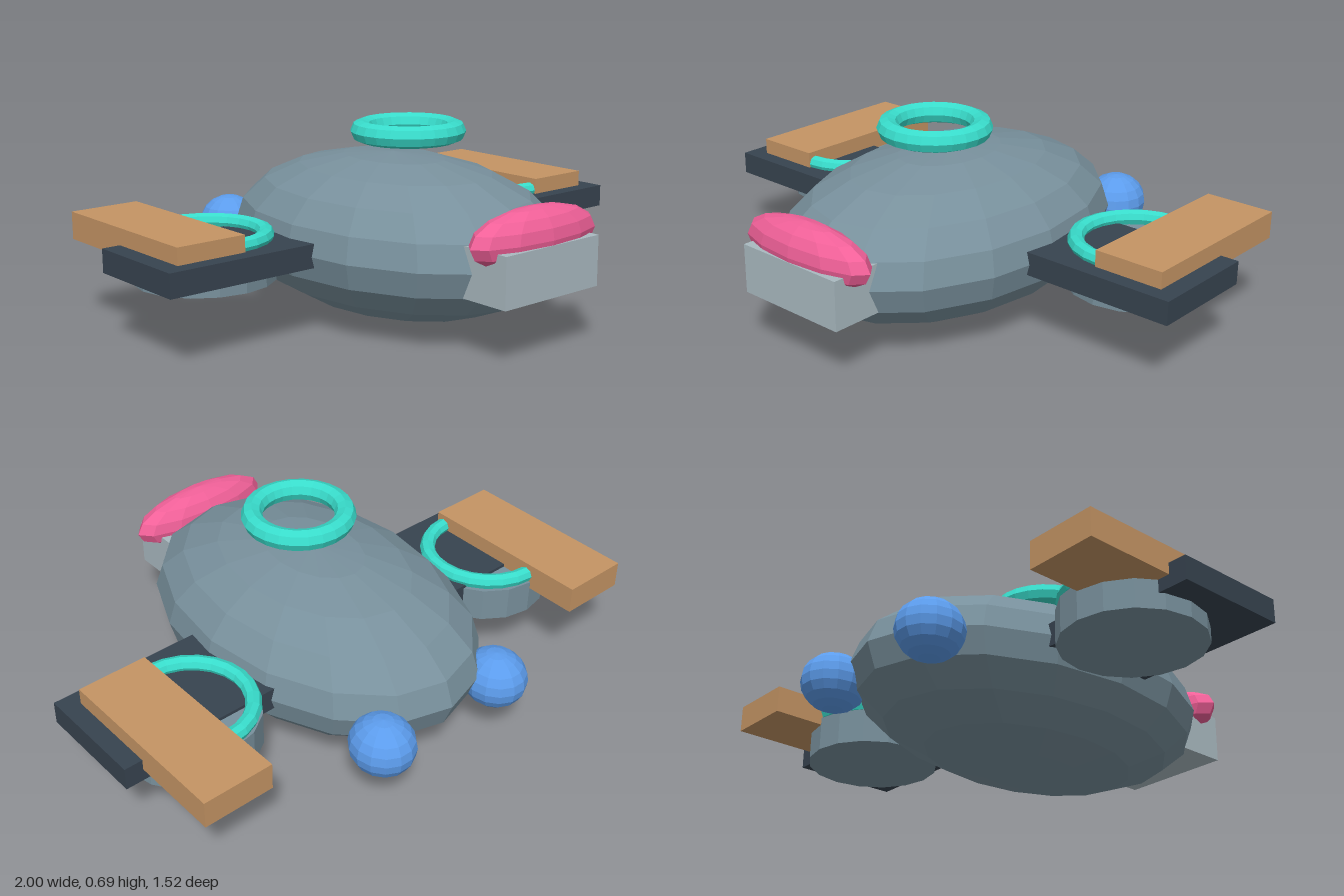
import * as THREE from 'three';

const mat = (color) => new THREE.MeshStandardMaterial({ color, flatShading: true });

export function createModel() {
  const model = new THREE.Group();
  const hull = mat(0x78909c), pale = mat(0xa9b9c0), dark = mat(0x37434f);
  const pink = mat(0xf06098), blue = mat(0x5c9cec), teal = mat(0x38dccb), tan = mat(0xc49464);

  const add = (name, geometry, material, x, y, z, parent = model) => {
    const mesh = new THREE.Mesh(geometry, material);
    mesh.name = name;
    mesh.position.set(x, y, z);
    parent.add(mesh);
    return mesh;
  };
  const ellipsoid = (rx, ry, rz, w, h) => new THREE.SphereGeometry(1, w, h).scale(rx, ry, rz);
  const ring = (radius, tube) => new THREE.TorusGeometry(radius, tube, 8, 24).rotateX(Math.PI / 2);

  // Hull, nose block and windscreen
  add('hull', ellipsoid(0.475, 0.286, 0.7, 16, 10), hull, 0, 0.288, 0);
  add('noseBlock', new THREE.BoxGeometry(0.43, 0.172, 0.26), pale, 0, 0.288, 0.63);
  add('windscreen', ellipsoid(0.285, 0.1, 0.088, 12, 8), pink, 0, 0.39, 0.673);

  // Ring floating above the hull
  add('topRing', ring(0.163, 0.038), teal, 0, 0.657, 0.077);

  // Mirrored side pods and rear thrusters
  for (const side of [1, -1]) {
    const pod = new THREE.Group();
    pod.name = side > 0 ? 'leftPod' : 'rightPod';
    model.add(pod);
    add('wing', new THREE.BoxGeometry(0.6, 0.082, 0.406), dark, side * 0.7, 0.291, -0.088, pod);
    add('fanDrum', new THREE.CylinderGeometry(0.24, 0.24, 0.125, 16), hull, side * 0.68, 0.258, -0.182, pod);
    add('fanRing', ring(0.212, 0.028), teal, side * 0.685, 0.345, -0.185, pod);
    add('sidePanel', new THREE.BoxGeometry(0.253, 0.097, 0.668), tan, side * 0.808, 0.342, -0.277, pod);
    add('thruster', ellipsoid(0.11, 0.103, 0.117, 14, 10), blue, side * 0.26, 0.246, -0.647);
  }
  return model;
}
